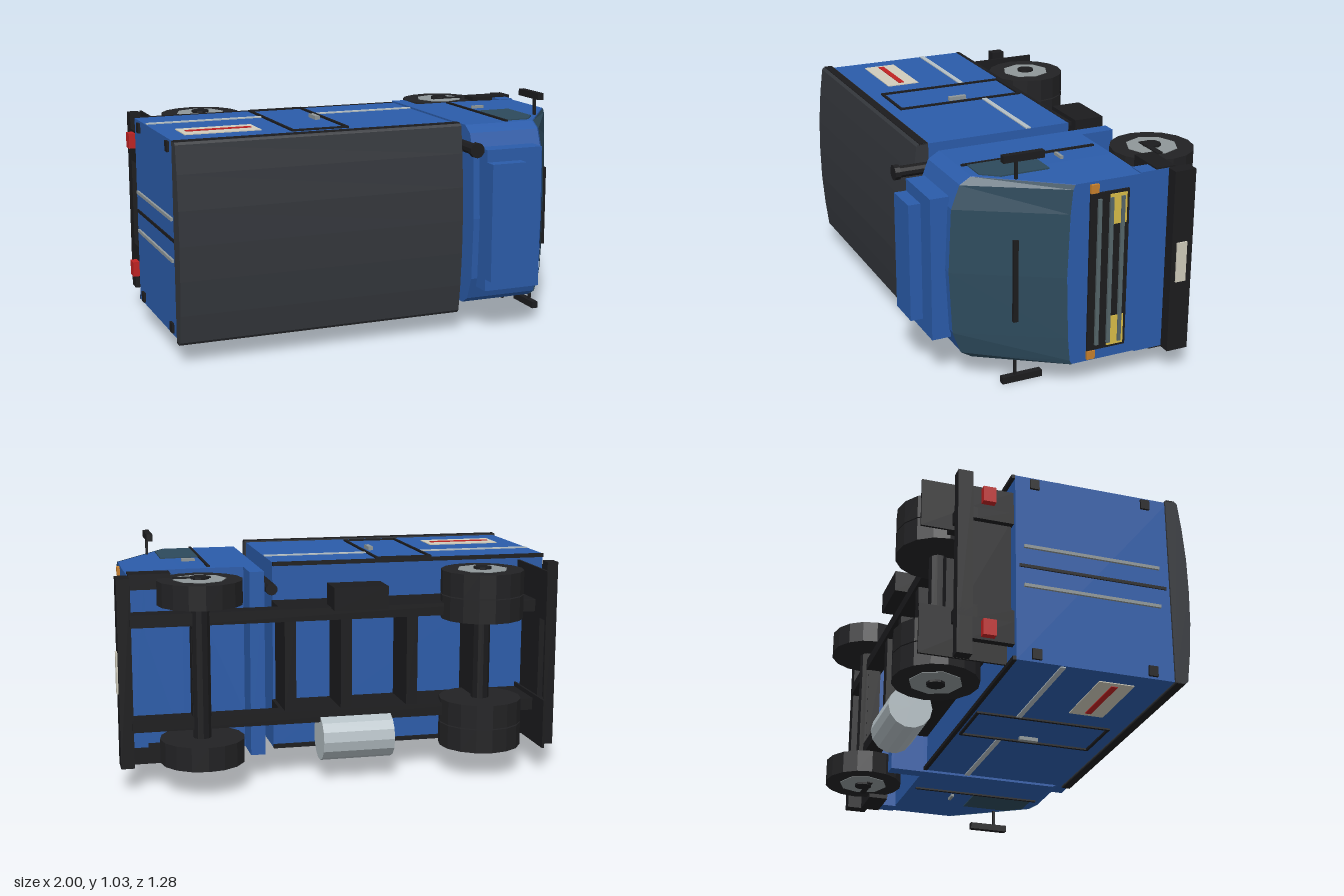
import * as THREE from 'three';

// The truck lies on its side: nose towards +x, roof towards +z, width along y.
const BLUE = 0x2b5caa, BLACK = 0x1c1c1e, ROOF = 0x34373c, GLASS = 0x2d4a5c, GREY = 0x8f9799,
  LIGHT = 0xb4bfc4, CREAM = 0xd0ccbc, RED = 0xc02222, YELLOW = 0xd9bd48, ORANGE = 0xc8802c;
const MID = 0.52;

export function createModel() {
  const truck = new THREE.Group();
  truck.name = 'truck';
  const mats = {};
  const mat = c => mats[c] ??= new THREE.MeshStandardMaterial({ color: c, flatShading: true, side: THREE.DoubleSide });
  const add = (name, color, geo, x = 0, y = 0, z = 0) => {
    const m = new THREE.Mesh(geo, mat(color));
    m.name = name;
    m.position.set(x, y, z);
    truck.add(m);
    return m;
  };
  // Box from its limits
  const box = (name, color, x0, x1, y0, y1, z0, z1) =>
    add(name, color, new THREE.BoxGeometry(x1 - x0, y1 - y0, z1 - z0), (x0 + x1) / 2, (y0 + y1) / 2, (z0 + z1) / 2);
  // Box repeated on both sides of the truck
  const pair = (name, color, x0, x1, y0, y1, z0, z1) => {
    box(name, color, x0, x1, y0, y1, z0, z1);
    box(name, color, x0, x1, 2 * MID - y1, 2 * MID - y0, z0, z1);
  };
  // Skin between rings of [x, y, z] points, optionally closed with end caps
  const loft = (rings, closed) => {
    const p = [], n = rings[0].length;
    const tri = (a, b, c) => p.push(...a, ...b, ...c);
    for (let r = 0; r < rings.length - 1; r++) {
      for (let i = 0; i < (closed ? n : n - 1); i++) {
        const j = (i + 1) % n, A = rings[r], B = rings[r + 1];
        tri(A[i], A[j], B[j]);
        tri(A[i], B[j], B[i]);
      }
    }
    if (closed) {
      const A = rings[0], B = rings[rings.length - 1];
      for (let i = 1; i < n - 1; i++) {
        tri(A[0], A[i + 1], A[i]);
        tri(B[0], B[i], B[i + 1]);
      }
    }
    const g = new THREE.BufferGeometry();
    g.setAttribute('position', new THREE.Float32BufferAttribute(p, 3));
    g.computeVertexNormals();
    return g;
  };
  // Arch across the width from half a profile of [half width, z]
  const arch = (x, half) => [
    ...half.map(([w, z]) => [x, MID + w, z]),
    ...half.slice().reverse().filter(([w]) => w > 0).map(([w, z]) => [x, MID - w, z])];
  const ring = (x, half, floor) => [[x, MID - half[0][0], floor], [x, MID + half[0][0], floor], ...arch(x, half)];

  // Cargo box with cambered roof
  box('cargoBox', BLUE, -0.99, 0.285, 0.095, 0.945, -0.235, 0.46);
  const camber = [[0.43, 0.45], [0.43, 0.49], [0.42, 0.5], [0.3, 0.515], [0.15, 0.527], [0, 0.53]];
  add('cargoRoof', ROOF, loft([ring(-1, camber, 0.445), ring(0.292, camber, 0.445)], true));
  pair('roofTrim', BLACK, -1, 0.292, 0.945, 0.953, 0.45, 0.487);
  pair('floorTrim', BLACK, -0.99, 0.285, 0.93, 0.947, -0.25, -0.233);

  // Cargo sides: strips, door, sign
  pair('sideStripRear', LIGHT, -0.985, -0.455, 0.943, 0.95, -0.048, -0.025);
  pair('sideStripFront', LIGHT, -0.2, 0.285, 0.943, 0.95, -0.048, -0.025);
  for (const x of [-0.455, -0.205]) pair('doorFrameUpright', BLACK, x, x + 0.012, 0.943, 0.953, -0.225, 0.385);
  for (const z of [-0.225, 0.373]) pair('doorFrameRail', BLACK, -0.455, -0.193, 0.943, 0.953, z, z + 0.012);
  pair('sideDoorHandle', GREY, -0.252, -0.23, 0.943, 0.962, 0.04, 0.125);
  pair('signBoard', CREAM, -0.905, -0.565, 0.943, 0.949, 0.15, 0.305);
  pair('signStripe', RED, -0.88, -0.59, 0.943, 0.952, 0.214, 0.241);

  // Rear doors
  box('rearDoorSeam', BLACK, -0.995, -0.985, MID - 0.007, MID + 0.007, -0.22, 0.43);
  pair('rearLockRod', GREY, -1, -0.985, 0.603, 0.617, -0.2, 0.4);
  for (const z of [-0.17, 0.33]) pair('rearHinge', BLACK, -1, -0.985, 0.89, 0.935, z, z + 0.04);

  // Cab body and windscreen
  const cabTop = [[0.41, 0.42], [0.38, 0.47], [0.28, 0.508], [0, 0.522]];
  const cabNose = [[0.405, 0.07], [0.385, 0.08], [0.28, 0.09], [0, 0.1]];
  add('cabBody', BLUE, loft([ring(0.35, cabTop, -0.235), ring(0.69, cabTop, -0.235), ring(0.94, cabNose, -0.235)], true));
  add('windscreen', GLASS, loft([arch(0.694, cabTop), arch(0.944, cabNose)], false), 0, 0, 0.003);
  box('cabRearPanel', BLUE, 0.35, 0.415, 0.11, 0.93, -0.39, -0.23);
  box('cabFrontPanel', BLUE, 0.865, 0.94, 0.11, 0.93, -0.37, -0.23);
  box('roofFairingLower', BLUE, 0.38, 0.65, 0.2, 0.84, 0.5, 0.585);
  box('roofFairingUpper', BLUE, 0.38, 0.545, 0.255, 0.785, 0.58, 0.64);
  box('wiper', BLACK, 0.825, 0.842, 0.31, 0.68, 0.275, 0.296);

  // Cab sides: windows, seams, handles, mirrors
  const pane = new THREE.Shape([[0.565, 0.09], [0.745, 0.09], [0.745, 0.31], [0.69, 0.385], [0.565, 0.385]]
    .map(([x, z]) => new THREE.Vector2(x, z)));
  const paneGeo = new THREE.ExtrudeGeometry(pane, { depth: 0.01, bevelEnabled: false }).rotateX(Math.PI / 2);
  for (const y of [0.935, 0.115]) add('sideWindow', GLASS, paneGeo, 0, y, 0);
  pair('cabDoorSeam', BLACK, 0.56, 0.572, 0.925, 0.938, -0.21, 0.41);
  pair('cabDoorHandle', GREY, 0.6, 0.66, 0.925, 0.943, -0.017, -0.004);
  pair('mirrorArm', BLACK, 0.782, 0.794, 0.91, 1.01, 0.258, 0.27);
  pair('mirror', BLACK, 0.772, 0.8, 1.005, 1.036, 0.14, 0.325);

  // Nose: grille, lamps, bumper
  box('grille', BLACK, 0.93, 0.95, 0.165, 0.875, -0.175, 0.005);
  pair('headlight', YELLOW, 0.93, 0.955, 0.73, 0.863, -0.162, -0.085);
  for (const z of [-0.035, -0.09, -0.142]) box('grilleBar', 0x56666a, 0.94, 0.961, 0.19, 0.85, z - 0.008, z + 0.008);
  pair('indicator', ORANGE, 0.93, 0.953, 0.877, 0.915, -0.032, 0.005);
  box('frontBumper', BLACK, 0.935, 0.993, 0.105, 0.93, -0.462, -0.363);
  box('frontPlate', CREAM, 0.98, 1, 0.43, 0.61, -0.433, -0.385);
  pair('cabStep', BLACK, 0.755, 0.936, 0.87, 0.937, -0.395, -0.305);

  // Chassis
  pair('chassisRail', BLACK, -0.97, 0.94, 0.72, 0.775, -0.472, -0.39);
  pair('subframe', BLACK, -0.97, 0.29, 0.72, 0.775, -0.395, -0.235);
  for (const x of [-0.92, -0.62, -0.3, 0, 0.25]) box('crossMember', BLACK, x - 0.025, x + 0.025, 0.3, 0.74, -0.46, -0.24);
  box('frontCrossMember', BLACK, 0.6, 0.68, 0.3, 0.74, -0.46, -0.4);
  box('batteryBox', BLACK, -0.17, 0.07, 0.77, 0.87, -0.53, -0.385);
  add('fuelTank', LIGHT, new THREE.CylinderGeometry(0.1, 0.1, 0.32, 14).rotateZ(Math.PI / 2), -0.04, 0.19, -0.45);
  box('rearBumper', BLACK, -0.97, -0.92, 0.1, 0.94, -0.475, -0.41);
  pair('mudFlap', BLACK, -0.878, -0.868, 0.7, 0.92, -0.605, -0.235);
  pair('tailLight', RED, -1, -0.965, 0.79, 0.86, -0.375, -0.32);
  pair('tailLightBracket', BLACK, -0.97, -0.94, 0.77, 0.87, -0.42, -0.235);

  // Exhaust stack
  const pipe = (name, r, z0, z1) =>
    add(name, BLACK, new THREE.CylinderGeometry(r, r, z1 - z0, 10).rotateX(Math.PI / 2), 0.315, 0.848, (z0 + z1) / 2);
  pipe('exhaustStack', 0.026, -0.38, 0.6);
  pipe('exhaustCap', 0.034, 0.592, 0.617);

  // Wheels: double tyres at the rear, single at the front
  const drum = (name, color, r, x, y, h, sides) =>
    add(name, color, new THREE.CylinderGeometry(r, r, h, sides), x, y, -0.457);
  for (const [x, tyres] of [[-0.62, [0.1, 0.21]], [0.64, [0.1]]]) {
    drum('axle', BLACK, 0.04, x, MID, 0.7, 10);
    for (const s of [-1, 1]) {
      for (const inset of tyres) {
        const y = MID + s * (0.395 - inset / 2 - (inset > 0.1 ? 0.055 : 0));
        drum('tyre', 0x222224, 0.184, x, y, 0.105, 16);
      }
      drum('wheelRim', GREY, 0.114, x, MID + s * 0.35, 0.1, 8);
      drum('wheelHub', BLACK, 0.04, x, MID + s * 0.36, 0.1, 10);
    }
  }
  pair('stepBracket', BLACK, 0.59, 0.75, 0.9, 0.925, -0.447, -0.42);

  return truck;
}
